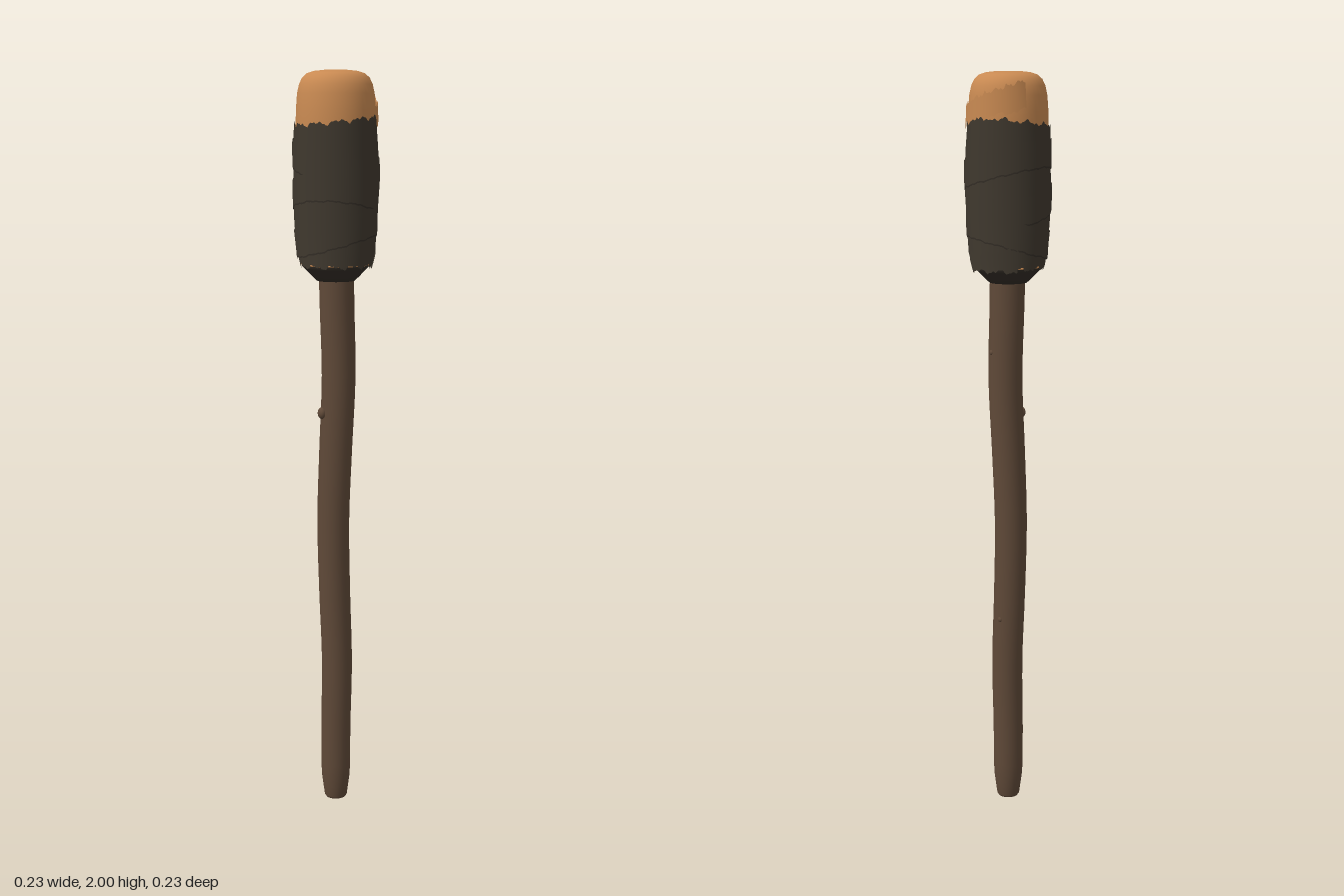
import * as THREE from 'three';

const V2 = (x, y) => new THREE.Vector2(x, y);
const { sin, cos, PI } = Math;

// Small uneven tear along a cloth edge; repeats cleanly around the head
const tear = (t) => 0.004 * sin(11 * t) + 0.003 * sin(23 * t + 1) + 0.002 * sin(47 * t + 2);

export function createModel() {
  const group = new THREE.Group();
  const mat = (name, color) => Object.assign(new THREE.MeshStandardMaterial({ color }), { name });
  const wood = mat('dark wood', 0x5f4938);
  const core = mat('amber core', 0xc98a52);
  const cloth = mat('charred cloth', 0x3f382e);
  const fold = mat('cloth fold', 0x322c25);
  cloth.side = fold.side = core.side = THREE.DoubleSide;

  const add = (name, geometry, material) => {
    const mesh = new THREE.Mesh(geometry, material);
    mesh.name = name;
    group.add(mesh);
    return mesh;
  };

  // Radius of the wrapped head at a height
  const headProfile = [[1.48, 0.088], [1.52, 0.1], [1.6, 0.106], [1.72, 0.11], [1.8, 0.109], [1.88, 0.105], [1.95, 0.1], [2, 0.09]];
  const headRadius = (y) => {
    let i = 1;
    while (i < headProfile.length - 1 && y > headProfile[i][0]) i++;
    const [y0, r0] = headProfile[i - 1], [y1, r1] = headProfile[i];
    return r0 + (r1 - r0) * THREE.MathUtils.clamp((y - y0) / (y1 - y0), 0, 1);
  };

  // Curved sheet around the head, between two edge curves (angle 0 = +z, PI/2 = +x)
  const sheet = (name, material, from, to, low, high, lift) => {
    const cols = Math.ceil((to - from) * 24), rows = 10;
    const position = [], normal = [], index = [];
    for (let j = 0; j <= rows; j++) {
      for (let i = 0; i <= cols; i++) {
        const t = from + (to - from) * i / cols;
        const y = THREE.MathUtils.lerp(low(t), high(t), j / rows);
        const r = headRadius(y) + lift + 0.0012 * sin(5 * t + y * 30);
        position.push(r * sin(t), y, r * cos(t));
        normal.push(sin(t), 0, cos(t));
        if (i < cols && j < rows) {
          const a = j * (cols + 1) + i, b = a + cols + 1;
          index.push(a, a + 1, b, a + 1, b + 1, b);
        }
      }
    }
    const g = new THREE.BufferGeometry();
    g.setAttribute('position', new THREE.Float32BufferAttribute(position, 3));
    g.setAttribute('normal', new THREE.Float32BufferAttribute(normal, 3));
    g.setIndex(index);
    return add(name, g, material);
  };

  // Handle: turned shaft, gently bent
  const bend = new THREE.CatmullRomCurve3([
    [0, 0, 0], [0, 0.2, 0], [0.004, 0.4, -0.002], [-0.002, 0.6, -0.004], [-0.006, 0.8, -0.004],
    [0, 1, -0.001], [0.007, 1.2, 0.003], [0.002, 1.4, 0.003], [0, 1.6, 0],
  ].map((p) => new THREE.Vector3(...p)));
  const shaft = [V2(0, 0), V2(0.027, 0), V2(0.031, 0.006), V2(0.035, 0.035), V2(0.039, 0.065)];
  for (let y = 0.1; y < 1.52; y += 0.05) shaft.push(V2(0.04 + 0.007 * (y / 1.5), y));
  const handle = new THREE.LatheGeometry(shaft, 28);
  const p = handle.attributes.position;
  for (let i = 0; i < p.count; i++) {
    const c = bend.getPoint(p.getY(i) / 1.6);
    p.setX(i, p.getX(i) + c.x);
    p.setZ(i, p.getZ(i) + c.z);
  }
  add('handle', handle, wood);

  // Cut branch knots
  [[-0.041, 1.1, 0.004, 0.016], [0.036, 0.53, -0.02, 0.008], [0.05, 1.27, 0, 0.007]].forEach(([x, y, z, s]) => {
    const knot = add('knot', new THREE.SphereGeometry(s, 12, 8), wood);
    knot.position.set(x, y, z);
    knot.scale.set(0.7, 1, 1);
  });

  // Rounded head core
  add('headCore', new THREE.LatheGeometry([
    V2(0.085, 1.5), V2(0.1, 1.55), V2(0.104, 1.7), V2(0.105, 1.86), V2(0.104, 1.9), V2(0.101, 1.94), V2(0.096, 1.963),
    V2(0.088, 1.98), V2(0.076, 1.991), V2(0.058, 1.997), V2(0.03, 2), V2(0, 2),
  ], 48), core);

  // Tapered collar under the wrap
  add('collar', new THREE.LatheGeometry([
    V2(0.03, 1.455), V2(0.05, 1.455), V2(0.062, 1.466), V2(0.082, 1.487), V2(0.09, 1.495), V2(0.09, 1.51),
  ], 40), fold);
  const seam = add('coreEdge', new THREE.TorusGeometry(0.0895, 0.0025, 6, 48), core);
  seam.rotation.x = PI / 2;
  seam.position.y = 1.499;

  // Main cloth wrap with torn edges
  sheet('wrap', cloth, 0, 2 * PI,
    (t) => 1.496 + tear(t), (t) => 1.872 + 0.012 * sin(t) + tear(t + 1), 0.002);

  // Overlapping slanted bands, each with a dark fold under its lower edge
  [[1.55, 0.3], [1.64, 2.2], [1.73, 4.1]].forEach(([y, phase]) => {
    const edge = (t) => y + 0.03 * sin(t + phase) + 0.3 * tear(t);
    sheet('wrapBand', cloth, 0, 2 * PI, edge, (t) => edge(t) + 0.07, 0.0045);
    sheet('bandFold', fold, 0, 2 * PI, (t) => edge(t) - 0.004, (t) => edge(t) + 0.002, 0.004);
  });

  // Loose torn strips on the side toward the back
  sheet('upperStrip', core, 0.9, 3.1,
    (t) => 1.86 + 0.02 * (t - 0.9) + tear(t), (t) => 1.905 + 0.033 * (t - 0.9) + tear(2 * t), 0.006);
  sheet('lowerStrip', cloth, 1.5, 2.9,
    (t) => 1.492 + tear(t), (t) => 1.535 + 0.01 * (t - 1.5) + tear(t + 2), 0.009);

  return group;
}
